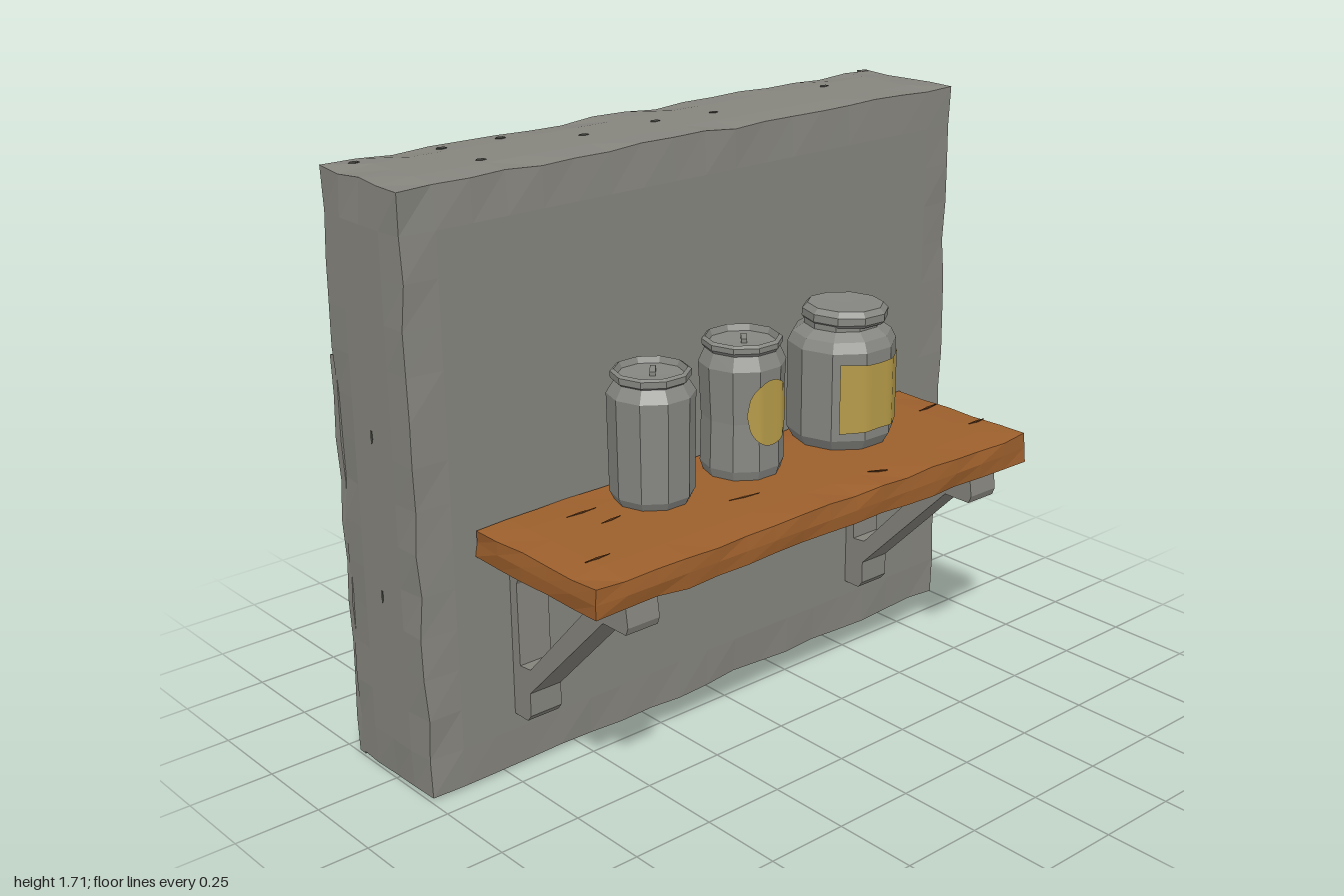
import * as THREE from 'three';

const mat = (name, color) => Object.assign(new THREE.MeshStandardMaterial({ color }), { name });

// Repeatable noise in 0..1 from a position, so shared corners move together
const noise = (x, y, z, k) => {
  const s = Math.sin(x * 127.1 + y * 311.7 + z * 74.7 + k * 53.3) * 43758.5453;
  return s - Math.floor(s);
};

const facet = (geo) => {
  const g = geo.index ? geo.toNonIndexed() : geo;
  g.computeVertexNormals();
  return g;
};

// Box given by its limits, with edges worn inward by up to `wear`
function wornBox([x0, x1], [y0, y1], [z0, z1], segs, wear) {
  const size = [x1 - x0, y1 - y0, z1 - z0];
  const geo = new THREE.BoxGeometry(...size, ...segs);
  const p = geo.attributes.position;
  for (let i = 0; i < p.count; i++) {
    const v = [p.getX(i), p.getY(i), p.getZ(i)].map((c) => Math.round(c * 1e4) / 1e4);
    const out = v.map((c, a) => Math.abs(Math.abs(c) - size[a] / 2) < 1e-3);
    if (out.filter(Boolean).length < 2) continue;
    const w = v.map((c, a) => (out[a] ? c - Math.sign(c) * wear * noise(...v, a) : c));
    p.setXYZ(i, ...w);
  }
  geo.translate((x0 + x1) / 2, (y0 + y1) / 2, (z0 + z1) / 2);
  return facet(geo);
}

// Faceted jar turned from [radius, height] points
const SIDES = 10;
function turned(points) {
  return facet(new THREE.LatheGeometry(points.map(([r, y]) => new THREE.Vector2(r, y)), SIDES));
}

// Thin label wrapped on the +x facets; half(t) is its half height for t in -1..1
function wrappedLabel(radius, spread, y, half) {
  const pos = [], index = [], n = 18, step = (2 * Math.PI) / SIDES;
  for (let i = 0; i <= n; i++) {
    const t = (i / n) * 2 - 1, a = t * spread;
    const local = a - Math.round(a / step) * step;
    const r = (radius * Math.cos(step / 2)) / Math.cos(local) + 0.007;
    const h = half(t);
    pos.push(r * Math.cos(a), y - h, -r * Math.sin(a), r * Math.cos(a), y + h, -r * Math.sin(a));
    if (i < n) index.push(2 * i, 2 * i + 2, 2 * i + 1, 2 * i + 2, 2 * i + 3, 2 * i + 1);
  }
  const g = new THREE.BufferGeometry();
  g.setAttribute('position', new THREE.Float32BufferAttribute(pos, 3));
  g.setIndex(index);
  g.computeVertexNormals();
  return g;
}

export function createModel() {
  const root = new THREE.Group();
  const stone = mat('stone grey', 0x85847d);
  const metal = mat('jar grey', 0x858581);
  const wood = mat('wood brown', 0x9c5f2c);
  const paper = mat('label yellow', 0xb59a48);
  paper.side = THREE.DoubleSide;
  const darkStone = mat('pit grey', 0x4a4a46);
  const darkWood = mat('grain brown', 0x5c3516);

  const add = (parent, name, geo, material) => {
    const m = new THREE.Mesh(geo, material);
    m.name = name;
    parent.add(m);
    return m;
  };

  // Wall slab with a raised lip along both ends of its back
  const wall = new THREE.Group();
  wall.name = 'wall';
  root.add(wall);
  add(wall, 'wallSlab', wornBox([-0.437, -0.075], [0.005, 1.712], [-1, 1], [4, 14, 18], 0.011), stone);
  add(wall, 'backLipRear', wornBox([-0.452, -0.42], [0.005, 1.71], [-0.998, -0.955], [1, 14, 1], 0.008), stone);
  add(wall, 'backLipFront', wornBox([-0.452, -0.42], [0, 1.2], [0.93, 0.998], [1, 10, 1], 0.008), stone);

  // Small pits on the top and the two ends
  const pit = facet(new THREE.CylinderGeometry(0.011, 0.011, 0.003, 5));
  const pits = [[-0.32, -0.69], [-0.25, -0.18], [-0.27, 0.02], [-0.26, 0.28],
    [-0.38, 0.47], [-0.38, 0.66], [-0.2, 0.66], [-0.39, 0.92]];
  for (const [x, z] of pits) {
    const m = add(wall, 'topPit', pit, darkStone);
    m.position.set(x, 1.712, z);
    m.scale.z = 1.5;
  }
  for (const y of [0.56, 1.02]) for (const end of [-1, 1]) {
    const m = add(wall, 'endPit', pit, darkStone);
    m.position.set(-0.26, y, end);
    m.rotation.x = Math.PI / 2;
    m.scale.set(0.5, 1, 1.8);
  }

  // Plank with grain cracks
  const shelf = new THREE.Group();
  shelf.name = 'shelf';
  root.add(shelf);
  add(shelf, 'plank', wornBox([-0.075, 0.446], [0.678, 0.772], [-0.81, 0.822], [5, 2, 16], 0.01), wood);
  const grain = [[0.1, -0.75, 0.09, 0.1], [0.28, -0.77, 0.07, 0], [0.36, -0.26, 0.06, -0.5],
    [0.25, 0.15, 0.1, -0.15], [0.04, 0.55, 0.1, 0], [0.13, 0.52, 0.07, 0.1], [0.3, 0.7, 0.08, 0]];
  for (const [x, z, length, turn] of grain) {
    const m = add(shelf, 'grainCrack', new THREE.CylinderGeometry(0.5, 0.5, 0.003, 4), darkWood);
    m.scale.set(0.009, 1, length);
    m.position.set(x, 0.772, z);
    m.rotation.y = turn;
  }

  // Brackets: foot, strut, top block and back strip in one outline
  const outline = [[-0.076, 0.175], [-0.016, 0.175], [0, 0.195], [0, 0.265], [0.332, 0.603],
    [0.425, 0.603], [0.434, 0.625], [0.426, 0.682], [0.325, 0.682], [0.3, 0.655], [0.005, 0.34],
    [-0.042, 0.335], [-0.045, 0.58], [-0.036, 0.6], [-0.036, 0.645], [-0.045, 0.682], [-0.076, 0.682]];
  const bracketShape = new THREE.Shape(outline.map(([x, y]) => new THREE.Vector2(x, y)));
  const bracketGeo = new THREE.ExtrudeGeometry(bracketShape, { depth: 0.105, bevelEnabled: false });
  bracketGeo.translate(0, 0, -0.0525);
  for (const z of [0.66, -0.635]) add(root, 'bracket', bracketGeo, stone).position.z = z;

  const place = (name, x, z) => {
    const g = new THREE.Group();
    g.name = name;
    g.position.set(x, 0.77, z);
    root.add(g);
    return g;
  };

  // Two cans with a rim, a sunken top and a pull tab
  const smallCan = place('smallCan', 0.08, 0.335);
  add(smallCan, 'canBody', turned([[0, 0], [0.105, 0], [0.118, 0.025], [0.122, 0.31], [0.1, 0.345],
    [0.11, 0.352], [0.11, 0.37], [0.1, 0.376], [0.093, 0.358], [0, 0.355]]), metal);
  const middleCan = place('middleCan', 0.08, 0.005);
  add(middleCan, 'canBody', turned([[0, 0], [0.11, 0], [0.12, 0.03], [0.116, 0.17], [0.124, 0.325],
    [0.106, 0.365], [0.114, 0.375], [0.114, 0.39], [0.104, 0.397], [0.097, 0.378], [0, 0.375]]), metal);
  for (const [can, y] of [[smallCan, 0.357], [middleCan, 0.377]]) {
    const tab = add(can, 'pullTab', new THREE.BoxGeometry(0.055, 0.012, 0.016), metal);
    tab.position.set(-0.01, y + 0.004, -0.015);
    tab.rotation.y = -0.7;
  }
  add(middleCan, 'roundLabel', wrappedLabel(0.122, 0.62, 0.2,
    (t) => 0.094 * Math.sqrt(Math.max(0, 1 - t * t)) + 0.002), paper);

  // Wide jar with a lid
  const jar = place('wideJar', 0.077, -0.39);
  add(jar, 'jarBody', turned([[0, 0], [0.14, 0], [0.16, 0.035], [0.16, 0.3], [0.145, 0.33],
    [0.112, 0.352], [0.112, 0.37], [0, 0.37]]), metal);
  const lid = add(jar, 'lid', turned([[0, 0.36], [0.118, 0.36], [0.127, 0.37], [0.127, 0.392],
    [0.112, 0.408], [0, 0.406]]), metal);
  lid.rotation.x = -0.03;
  add(jar, 'squareLabel', wrappedLabel(0.16, 0.8, 0.165, (t) => 0.1 + 0.006 * Math.abs(t)), paper);

  return root;
}
